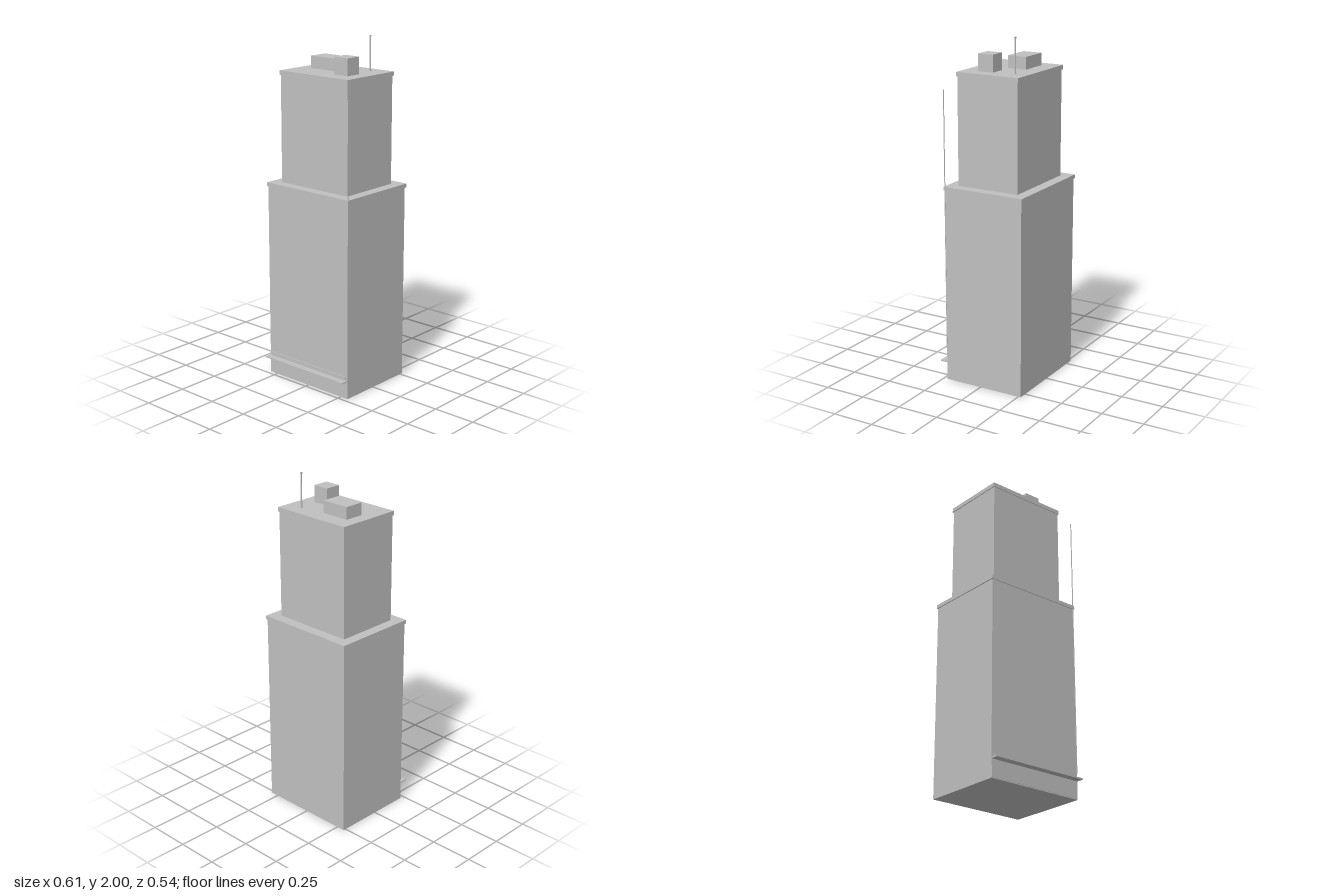
import * as THREE from 'three';

export function createModel() {
  const model = new THREE.Group();
  const concrete = new THREE.MeshStandardMaterial({ color: 0xc0c0c0 });
  concrete.name = 'concrete grey';

  // Box given by its extents along each axis
  function block(name, [x0, x1], [y0, y1], [z0, z1]) {
    const mesh = new THREE.Mesh(new THREE.BoxGeometry(x1 - x0, y1 - y0, z1 - z0), concrete);
    mesh.name = name;
    mesh.position.set((x0 + x1) / 2, (y0 + y1) / 2, (z0 + z1) / 2);
    model.add(mesh);
  }
  // Slim square mast standing at x, z
  function mast(name, x, z, width, y0, y1) {
    const h = width / 2;
    block(name, [x - h, x + h], [y0, y1], [z - h, z + h]);
  }

  // Two stacked tower blocks, each with a slightly overhanging roof slab
  block('lowerTower', [-0.3, 0.3], [0, 1.14], [-0.266, 0.226]);
  block('lowerRoofSlab', [-0.306, 0.306], [1.138, 1.16], [-0.272, 0.231]);
  block('upperTower', [-0.245, 0.245], [1.16, 1.777], [-0.209, 0.17]);
  block('upperRoofSlab', [-0.25, 0.25], [1.775, 1.8], [-0.215, 0.174]);

  // Street front: shop window band, canopy and fascia sign board
  block('shopfront', [-0.298, 0.298], [0.006, 0.1], [0.225, 0.228]);
  block('canopy', [-0.3, 0.3], [0.104, 0.111], [0.226, 0.27]);
  block('fascia', [-0.286, 0.286], [0.111, 0.132], [0.226, 0.232]);

  // Rooftop plant
  block('ventilationUnit', [-0.175, -0.004], [1.8, 1.87], [-0.117, -0.002]);
  block('stairHouse', [0.073, 0.171], [1.8, 1.897], [-0.011, 0.083]);

  // Antenna with base and tip, and the slim pole on the front corner
  mast('antenna', 0.146, -0.136, 0.006, 1.8, 1.995);
  mast('antennaBase', 0.146, -0.136, 0.009, 1.8, 1.806);
  mast('antennaTip', 0.146, -0.136, 0.009, 1.991, 2);
  mast('cornerPole', 0.299, 0.226, 0.004, 0.15, 1.705);

  return model;
}
